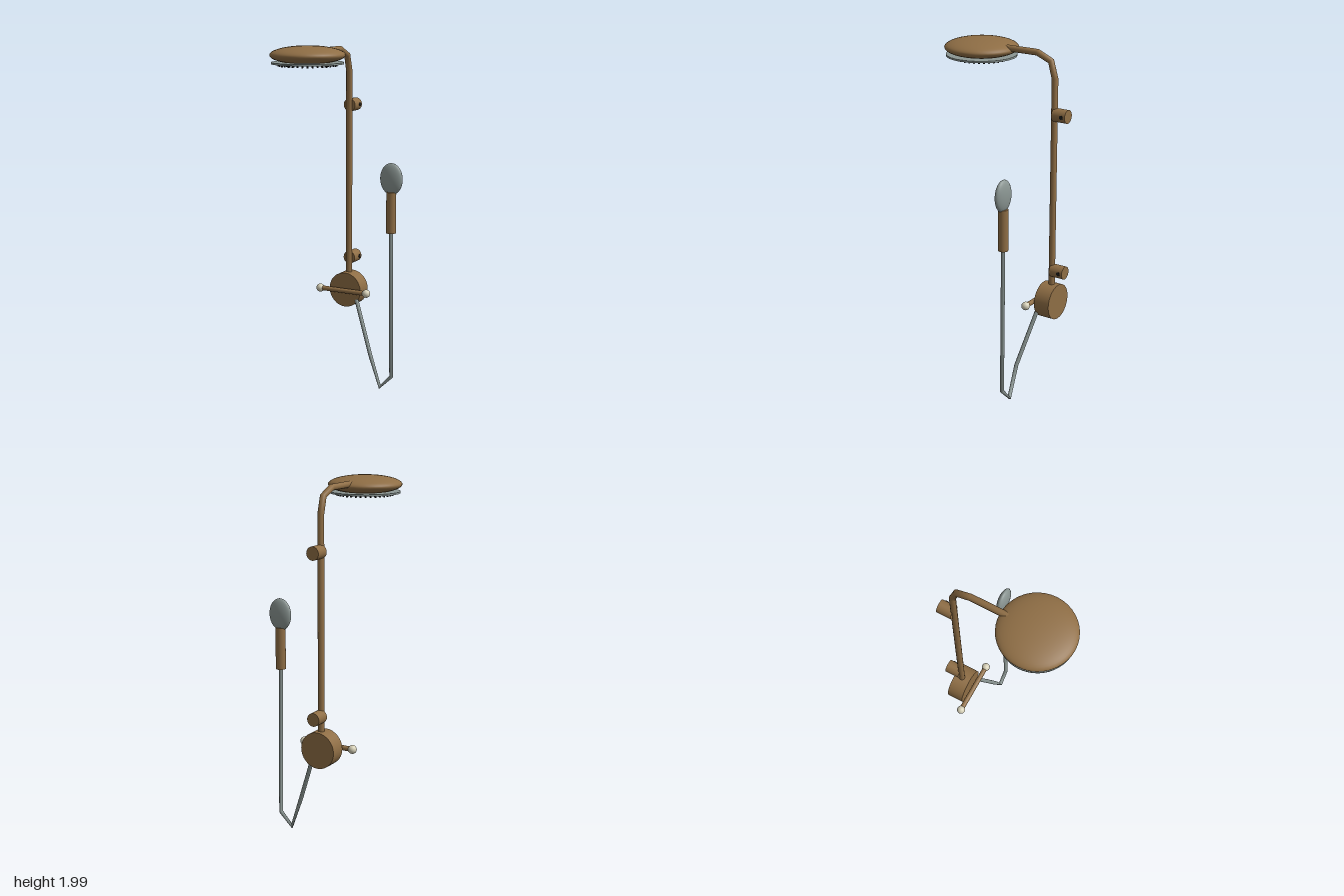
import * as THREE from 'three';

const mat = (name, color) => Object.assign(new THREE.MeshStandardMaterial({ color }), { name });

// Straight-sided path whose tube rings sit exactly on the given points
class Polyline extends THREE.Curve {
  constructor(points) {
    super();
    this.points = points.map((p) => new THREE.Vector3(...p));
  }
  index(u) { return Math.round(u * (this.points.length - 1)); }
  getPoint(u) { return this.points[this.index(u)].clone(); }
  getPointAt(u) { return this.getPoint(u); }
  getTangentAt(u) {
    const i = this.index(u), p = this.points;
    const dir = (a, b) => p[b].clone().sub(p[a]).normalize();
    if (i === 0) return dir(0, 1);
    if (i === p.length - 1) return dir(i - 1, i);
    return dir(i - 1, i).add(dir(i, i + 1)).normalize();
  }
}

export function createModel() {
  const group = new THREE.Group();
  const bronze = mat('bronze', 0x8f6e45);
  const steel = mat('steel', 0x8b9693);
  const cream = mat('cream', 0xd6d0b8);
  const dark = mat('dark', 0x1c1b19);

  const add = (name, geometry, material, x = 0, y = 0, z = 0) => {
    const mesh = new THREE.Mesh(geometry, material);
    mesh.name = name;
    mesh.position.set(x, y, z);
    group.add(mesh);
    return mesh;
  };
  const tube = (points, r) => new THREE.TubeGeometry(new Polyline(points), points.length - 1, r, 16);
  const rod = (r, length) => new THREE.CylinderGeometry(r, r, length, 32);
  const X = -0.097; // centre line of the riser

  // Riser pipe bending forward into the overhead rose
  add('riserPipe', tube([
    [X, 0.6, -0.298], [X, 1.835, -0.298], [X, 1.927, -0.272], [X, 1.964, -0.187], [X, 1.964, 0.06],
  ], 0.018), bronze);

  // Overhead rose: flattened dome, spray ring and nozzles
  const HZ = 0.178;
  add('showerHead', new THREE.SphereGeometry(0.205, 40, 24).scale(1, 0.05 / 0.205, 1), bronze, X, 1.95, HZ);
  const ringProfile = [[0.13, 1.902], [0.196, 1.902], [0.196, 1.912], [0.13, 1.912], [0.13, 1.902]]
    .map(([r, y]) => new THREE.Vector2(r, y));
  add('sprayRing', new THREE.LatheGeometry(ringProfile, 48).toNonIndexed(), steel, X, 0, HZ)
    .geometry.computeVertexNormals();
  for (const [radius, count] of [[0.157, 36], [0.127, 30]]) {
    for (let i = 0; i < count; i++) {
      const a = (i / count) * Math.PI * 2;
      add('nozzle', new THREE.CylinderGeometry(0.005, 0.005, 0.02, 8), dark,
        X + radius * Math.cos(a), 1.9, HZ + radius * Math.sin(a));
    }
  }

  // Wall brackets, each with a set screw on its side
  for (const y of [1.64, 0.742]) {
    add('wallBracket', rod(0.037, 0.084).rotateX(Math.PI / 2), bronze, X, y, -0.342);
    add('setScrew', rod(0.011, 0.008).rotateZ(Math.PI / 2), dark, X + 0.035, y, -0.361);
  }

  // Mixer body with cross bar and ball ends
  add('mixerBody', rod(0.102, 0.095).rotateX(Math.PI / 2), bronze, X, 0.557, -0.294);
  add('handleBar', rod(0.014, 0.305).rotateZ(Math.PI / 2), bronze, X, 0.557, -0.224);
  for (const side of [-1, 1]) {
    add('handleKnob', new THREE.SphereGeometry(0.024, 24, 16), cream, X + side * 0.152, 0.557, -0.224);
  }

  // Hose hanging from the mixer up to the hand shower
  add('hose', tube([
    [-0.022, 0.505, -0.25], [0.1, 0.2, -0.194], [0.165, 0.018, -0.19], [0.238, 0.092, -0.19], [0.228, 0.96, -0.19],
  ], 0.0115), steel);

  // Hand shower
  add('handShowerGrip', rod(0.028, 0.235), bronze, 0.229, 1.058, -0.19);
  add('handShowerHead', new THREE.SphereGeometry(1, 32, 24).scale(0.069, 0.09, 0.027), steel, 0.229, 1.25, -0.19);

  return group;
}
